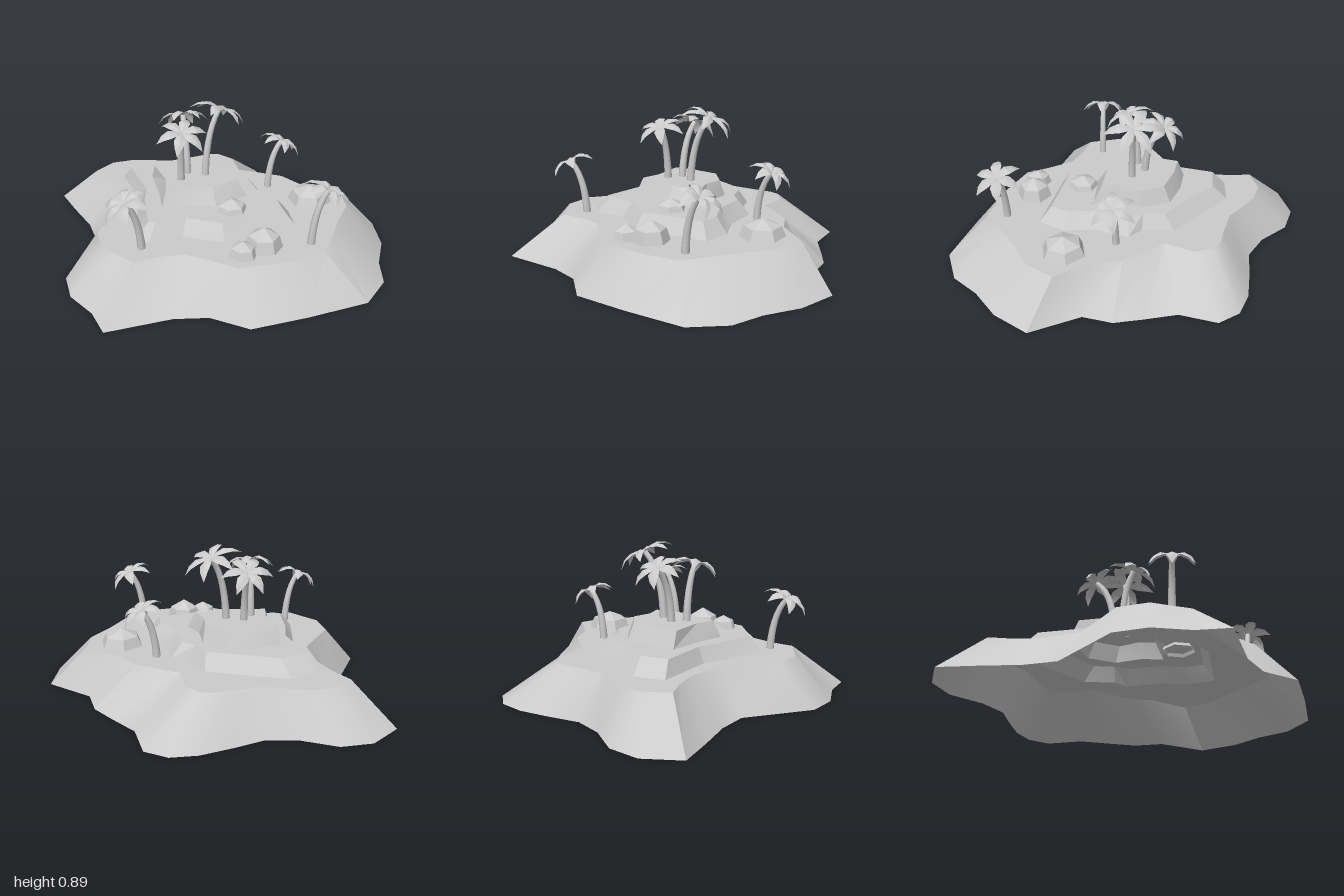
import * as THREE from 'three';
import { toCreasedNormals } from 'three/addons/utils/BufferGeometryUtils.js';

const grey = new THREE.MeshStandardMaterial({ color: 0xcccccc, side: THREE.DoubleSide });
const faceted = new THREE.MeshStandardMaterial({ color: 0xcccccc, side: THREE.DoubleSide, flatShading: true });

// Outlines as x, z pairs, clockwise seen from above
const pairs = (a) => Array.from({ length: a.length / 2 }, (_, i) => new THREE.Vector2(a[2 * i], a[2 * i + 1]));
const shore = pairs([
  -.88, -.83, -.69, -.96, -.5, -.96, -.31, -.85, -.13, -.81, .06, -.86, .25, -.9, .41, -.89, .53, -.8, .55, -.57,
  .66, -.4, .75, -.25, .77, -.07, 1, .16, .94, .4, .82, .59, .75, .78, .57, .93, .2, .95, -.13, .95,
  -.31, .79, -.5, .74, -.69, .74, -.88, .74, -.91, .56, -1, .37, -1, .18, -.76, -.19, -.77, -.38, -.83, -.61]);
const beach = pairs([
  -.66, -.66, -.53, -.75, -.4, -.75, -.25, -.7, -.15, -.66, .03, -.67, .13, -.68, .2, -.66, .27, -.56, .26, -.38,
  .34, -.33, .5, -.21, .57, -.07, .775, .1, .73, .29, .6, .44, .5, .58, .385, .73, .14, .76, -.13, .73,
  -.24, .62, -.37, .51, -.52, .49, -.66, .5, -.72, .41, -.79, .31, -.79, .13, -.57, -.14, -.56, -.38, -.6, -.53]);
const midBase = pairs([
  -.5, -.53, -.33, -.59, -.06, -.47, .12, -.39, .19, -.21, .28, -.16, .29, .06, .365, .23,
  .34, .4, -.12, .46, -.33, .33, -.53, .33, -.59, .27, -.525, 0, -.47, -.15]);
const midTop = pairs([
  -.46, -.455, -.3, -.5, -.1, -.4, .1, -.32, .14, -.2, .21, -.13, .22, .08, .29, .225,
  .28, .345, -.11, .4, -.29, .275, -.475, .275, -.51, .25, -.475, 0, -.43, -.15]);
const peakBase = pairs([
  -.36, -.29, -.2, -.32, -.03, -.31, .09, -.17, .08, 0, .13, .125, -.085, .195, -.235, .15, -.395, .115, -.37, -.05]);
const peakTop = pairs([
  -.35, -.25, -.22, -.27, -.04, -.265, .07, -.14, .05, -.02, .085, .09, -.09, .13, -.22, .1, -.36, .08, -.33, -.04]);

const BEACH = 0.245, MID = 0.335, PEAK = 0.435;

function add(parent, name, geometry, material = grey) {
  const mesh = new THREE.Mesh(geometry, material);
  mesh.name = name;
  parent.add(mesh);
  return mesh;
}

// Sloping wall between two outlines with matching corners
function slope(low, y0, high, y1, crease) {
  const v = [];
  low.forEach((a, i) => {
    const j = (i + 1) % low.length, b = low[j], c = high[i], d = high[j];
    v.push(a.x, y0, a.y, c.x, y1, c.y, b.x, y0, b.y, b.x, y0, b.y, c.x, y1, c.y, d.x, y1, d.y);
  });
  const g = new THREE.BufferGeometry();
  g.setAttribute('position', new THREE.Float32BufferAttribute(v, 3));
  return toCreasedNormals(g, crease);
}

// Level ground, optionally open where the next tier rises
function level(outline, y, hole) {
  const flip = (o) => o.map((p) => new THREE.Vector2(p.x, -p.y));
  const shape = new THREE.Shape(flip(outline));
  if (hole) shape.holes.push(new THREE.Path(flip(hole)));
  return new THREE.ShapeGeometry(shape).rotateX(-Math.PI / 2).translate(0, y, 0);
}

function rock(parent, x, y, z, r, h, turn) {
  const profile = [[r, 0], [r * 0.8, h * 0.58], [0, h]].map((p) => new THREE.Vector2(...p));
  const mesh = add(parent, 'rock', new THREE.LatheGeometry(profile, 6), faceted);
  mesh.position.set(x, y, z);
  mesh.rotation.y = turn;
}

// Tapered trunk following a curve
function trunkGeometry(curve, r0, r1) {
  const rings = 8, sides = 8;
  const g = new THREE.TubeGeometry(curve, rings, r0, sides);
  const pos = g.attributes.position, p = new THREE.Vector3();
  for (let i = 0; i < pos.count; i++) {
    const t = Math.floor(i / (sides + 1)) / rings;
    const c = curve.getPointAt(t);
    p.fromBufferAttribute(pos, i).sub(c).multiplyScalar(1 + (r1 / r0 - 1) * t).add(c);
    pos.setXYZ(i, p.x, p.y, p.z);
  }
  return g;
}

// Drooping leaf pointing along +x, folded along its rib
function leafGeometry(length) {
  const stations = [[0, 0, .006], [.25, .02, .024], [.5, .024, .034], [.77, .004, .023], [1, -.04, .001]];
  const v = [], index = [];
  stations.forEach(([t, y, w], i) => {
    const x = t * length;
    v.push(x, y - w * 0.35, -w, x, y, 0, x, y - w * 0.35, w);
    if (!i) return;
    for (const k of [0, 1]) {
      const a = 3 * (i - 1) + k, b = a + 3;
      index.push(a, a + 1, b, b, a + 1, b + 1);
    }
  });
  const g = new THREE.BufferGeometry();
  g.setAttribute('position', new THREE.Float32BufferAttribute(v, 3));
  g.setIndex(index);
  return toCreasedNormals(g, 0.5);
}

function palm(parent, base, top, phase, leafLength) {
  const group = new THREE.Group();
  group.name = 'palmTree';
  parent.add(group);
  const a = new THREE.Vector3(...base), b = new THREE.Vector3(...top);
  const bend = new THREE.Vector3().lerpVectors(a, b, 0.12).setY(a.y + (b.y - a.y) * 0.72);
  const curve = new THREE.QuadraticBezierCurve3(a, bend, b);
  add(group, 'trunk', trunkGeometry(curve, 0.024, 0.016));

  // Crown leans with the tip of the trunk
  const crown = new THREE.Group();
  crown.name = 'crown';
  crown.position.copy(b);
  const up = new THREE.Vector3(0, 1, 0);
  const lean = curve.getTangent(1).lerp(up, 0.4).normalize();
  crown.quaternion.setFromUnitVectors(up, lean);
  group.add(crown);
  const leaf = leafGeometry(leafLength);
  for (let i = 0; i < 6; i++) {
    add(crown, 'leaf', leaf).rotation.y = -THREE.MathUtils.degToRad(phase + i * 60);
  }
}

export function createModel() {
  const island = new THREE.Group();
  island.name = 'island';

  // Terraced ground, hollow underneath
  add(island, 'shoreSlope', slope(shore, 0, beach, BEACH, 0.6));
  add(island, 'beach', level(beach, BEACH, midBase));
  add(island, 'middleSlope', slope(midBase, BEACH, midTop, MID, 0.3));
  add(island, 'middleTerrace', level(midTop, MID, peakBase));
  add(island, 'peakSlope', slope(peakBase, MID, peakTop, PEAK, 0.3));
  add(island, 'peakTerrace', level(peakTop, PEAK));

  // Rocks
  rock(island, 0.545, BEACH, 0.14, 0.135, 0.105, 0);
  rock(island, -0.01, MID - 0.02, 0.26, 0.1, 0.09, 0.5);
  rock(island, 0.08, BEACH, 0.565, 0.11, 0.125, 0.25);
  rock(island, -0.06, BEACH, 0.61, 0.085, 0.085, 0.45);

  // Palms on the peak
  palm(island, [-.24, PEAK, -.02], [-.245, .765, .05], -5, .155);
  palm(island, [-.18, PEAK, -.09], [-.17, .765, -.21], 5, .155);
  palm(island, [-.08, PEAK, -.04], [.025, .83, -.09], 3, .18);

  // Palms on the beach
  palm(island, [-.58, BEACH, .37], [-.67, .56, .4], -15, .145);
  palm(island, [.36, BEACH, -.11], [.45, .545, -.125], -22, .14);
  palm(island, [.35, BEACH, .615], [.44, .57, .61], -25, .15);

  return island;
}
